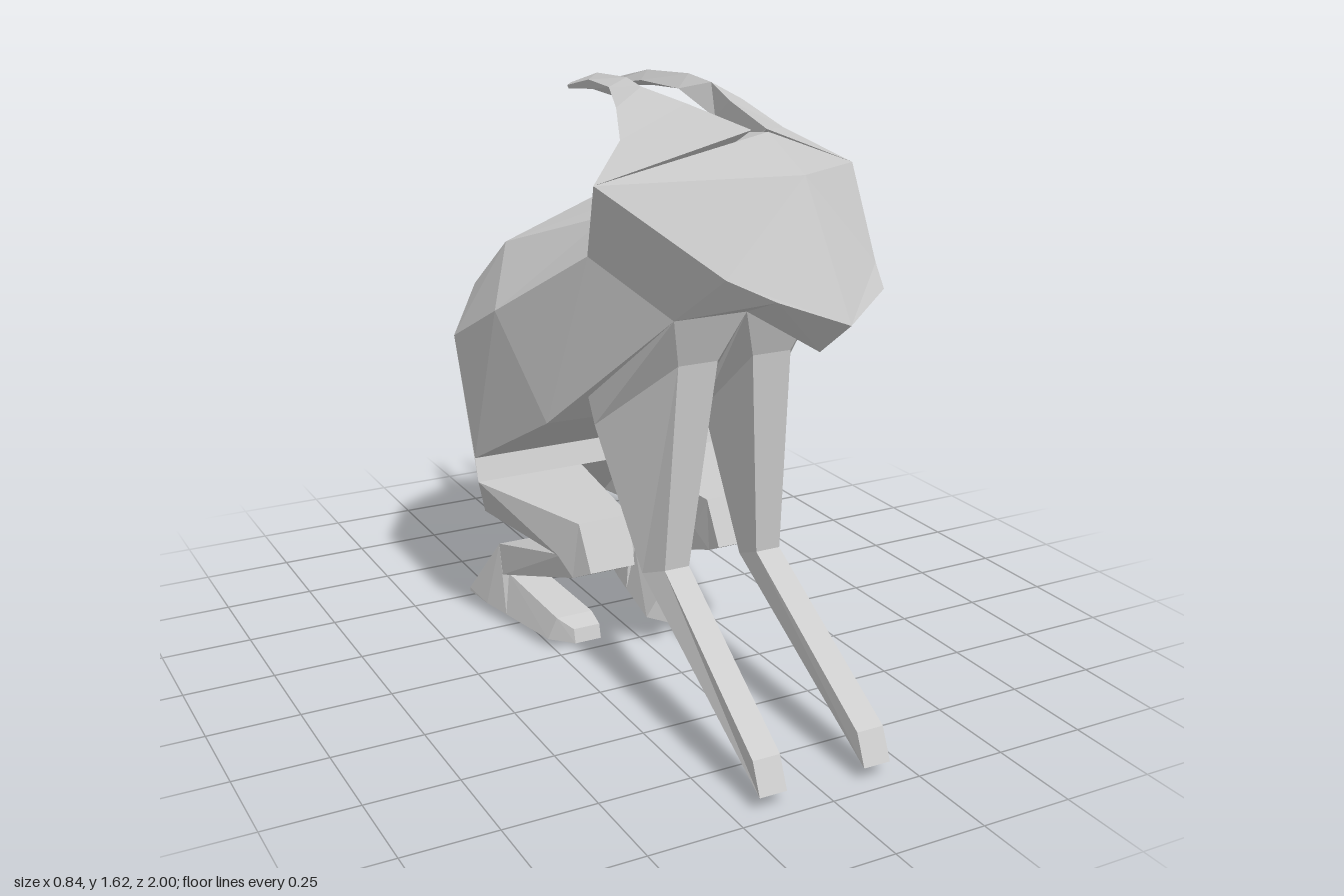
import * as THREE from 'three';

// Faceted skin over a row of closed rings, capped at both ends and turned outward
function loft(rings) {
  const tris = [];
  const n = rings[0].length;
  for (let r = 0; r < rings.length - 1; r++) {
    for (let i = 0; i < n; i++) {
      const j = (i + 1) % n;
      const [a, b, c, d] = [rings[r][i], rings[r][j], rings[r + 1][j], rings[r + 1][i]];
      // Mirror the diagonal on the second half so both sides match
      if (i < n / 2) tris.push([a, b, c], [a, c, d]);
      else tris.push([a, b, d], [b, c, d]);
    }
  }
  const first = rings[0], last = rings[rings.length - 1];
  for (let i = 1; i < n - 1; i++) {
    tris.push([first[0], first[i + 1], first[i]], [last[0], last[i], last[i + 1]]);
  }
  const v = tris.map(t => t.map(p => new THREE.Vector3(...p)));
  const cross = new THREE.Vector3();
  let volume = 0;
  for (const [a, b, c] of v) volume += a.dot(cross.crossVectors(b, c));
  const points = [];
  for (const [a, b, c] of v) {
    const area = b.clone().sub(a).cross(c.clone().sub(a)).length();
    if (area > 1e-6) points.push(...(volume < 0 ? [a, c, b] : [a, b, c]));
  }
  const geometry = new THREE.BufferGeometry().setFromPoints(points);
  geometry.computeVertexNormals();
  return geometry;
}

const flip = ([x, y, z]) => [-x, y, z];

// Completes a half ring that runs from the top centre to the bottom centre
const whole = half => [...half, ...half.slice(1, -1).reverse().map(flip)];

// Four-cornered ring: inner/outer x, y and z of the first edge, then of the second
const band = (i1, o1, y1, z1, i2, o2, y2, z2) =>
  [[i1, y1, z1], [o1, y1, z1], [o2, y2, z2], [i2, y2, z2]];

export function createModel() {
  const model = new THREE.Group();
  model.name = 'animal';
  const grey = new THREE.MeshStandardMaterial({ color: 0xcccccc });
  grey.name = 'grey';

  const add = (name, rings) => {
    const mesh = new THREE.Mesh(loft(rings), grey);
    mesh.name = name;
    model.add(mesh);
  };
  const pair = (name, rings) => {
    add(name + 'Left', rings);
    add(name + 'Right', rings.map(r => r.map(flip)));
  };

  // Body: neck, ribs, hips, rump with pointed tail, underside
  add('body', [
    [[0, 1.385, 0.26], [0.22, 1.3, 0.25], [0.31, 1.22, 0.32], [0.2, 1.1, 0.56], [0, 1.1, 0.56]],
    [[0, 1.24, -0.28], [0.33, 1.17, -0.14], [0.42, 1.02, -0.01], [0.34, 0.74, 0.13], [0, 0.76, 0.2]],
    [[0, 1.02, -0.61], [0.29, 0.98, -0.47], [0.42, 0.88, -0.31], [0.4, 0.54, -0.23], [0, 0.54, -0.23]],
    [[0, 0.55, -1], [0.16, 0.8, -0.57], [0.32, 0.63, -0.49], [0.4, 0.475, -0.21], [0, 0.475, -0.21]],
    [[0, 0.55, -0.72], [0, 0.55, -0.72], [0.27, 0.47, -0.53], [0.31, 0.31, -0.39], [0, 0.31, -0.39]],
  ].map(whole));

  // Head: nose tip, muzzle, cheeks, back of the skull
  add('head', [
    [[0, 1.17, 1], [0, 1.17, 1], [0, 1.17, 1], [0, 1.17, 1]],
    [[0, 1.47, 0.8], [0.2, 1.25, 0.8], [0.14, 1.22, 0.92], [0, 1.08, 0.88]],
    [[0, 1.545, 0.64], [0.36, 1.42, 0.46], [0.2, 1.1, 0.56], [0, 1.1, 0.56]],
    [[0, 1.52, 0.46], [0.22, 1.37, 0.32], [0.31, 1.22, 0.32], [0, 1.1, 0.54]],
  ].map(whole));

  // Long swept-back ears
  pair('ear', [
    [[0.02, 1.545, 0.6], [0.36, 1.42, 0.46], [0.29, 1.28, 0.33], [0.05, 1.4, 0.36]],
    [[0.06, 1.58, 0.36], [0.23, 1.5, 0.34], [0.2, 1.38, 0.32], [0.07, 1.45, 0.34]],
    [[0.1, 1.605, 0.2], [0.18, 1.56, 0.22], [0.16, 1.49, 0.24], [0.09, 1.52, 0.24]],
    [[0.09, 1.617, 0.1], [0.14, 1.595, 0.1], [0.12, 1.57, 0.08], [0.06, 1.58, 0.1]],
    [[0.075, 1.607, -0.1], [0.1, 1.59, -0.1], [0.09, 1.565, -0.1], [0.055, 1.58, -0.1]],
    [[0.05, 1.557, -0.315], [0.062, 1.55, -0.315], [0.058, 1.54, -0.315], [0.045, 1.545, -0.315]],
  ]);

  // Front legs: shoulder, chest line, elbow, paw
  pair('frontLeg', [
    band(0, 0.2, 1.1, 0.56, 0.06, 0.28, 0.85, 0.25),
    band(0.05, 0.16, 0.97, 0.51, 0.06, 0.26, 0.76, 0.25),
    band(0.1, 0.17, 0.42, 0.465, 0.1, 0.19, 0.385, 0.38),
    band(0.11, 0.185, 0.12, 0.93, 0.11, 0.185, 0.04, 0.965),
  ]);

  // Thighs reaching forward to the knees
  pair('thigh', [
    band(0.08, 0.4, 0.475, -0.21, 0.08, 0.31, 0.31, -0.39),
    band(0.12, 0.27, 0.46, 0.17, 0.12, 0.3, 0.35, 0.1),
    band(0.13, 0.26, 0.335, 0.22, 0.14, 0.28, 0.3, 0.15),
  ]);

  // Shins folding back to the ankles
  pair('shin', [
    band(0.14, 0.29, 0.35, 0.1, 0.14, 0.28, 0.3, 0.15),
    band(0.17, 0.27, 0.2, -0.385, 0.17, 0.28, 0.12, -0.34),
  ]);

  // Hind feet: heel, ankle, instep, toes
  pair('hindFoot', [
    band(0.19, 0.31, 0.01, -0.57, 0.19, 0.31, 0, -0.57).map(([x, y, z]) => [x, y, x < 0.25 ? -0.61 : -0.53]),
    band(0.17, 0.27, 0.2, -0.385, 0.14, 0.3, 0, -0.42),
    band(0.16, 0.26, 0.12, -0.34, 0.12, 0.28, 0, -0.32),
    band(0.11, 0.22, 0.07, -0.09, 0.08, 0.24, 0, -0.11),
    band(0.11, 0.19, 0.05, -0.04, 0.11, 0.19, 0.01, -0.03),
  ]);

  return model;
}
